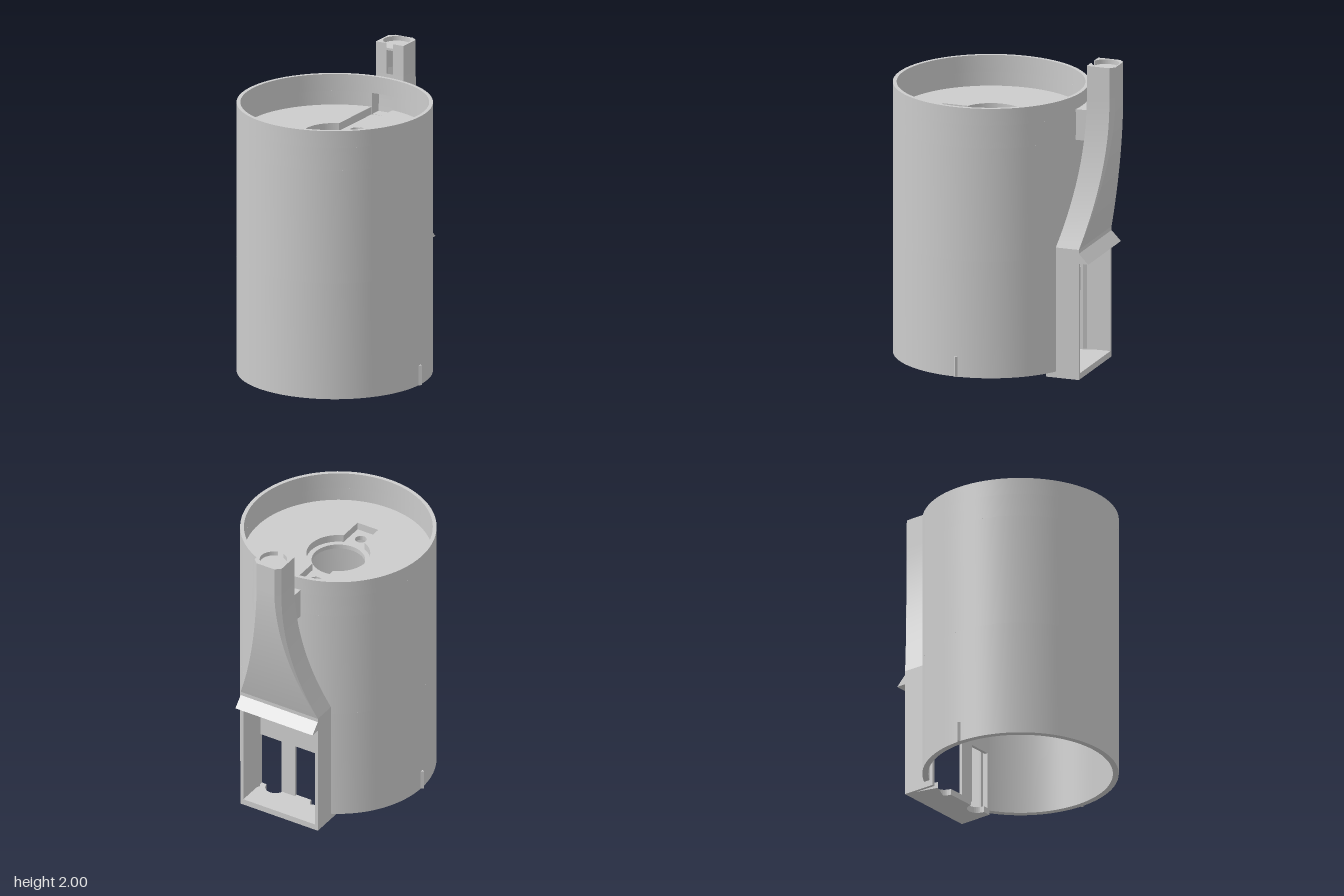
import * as THREE from 'three';
import { toCreasedNormals } from 'three/addons/utils/BufferGeometryUtils.js';

const CZ = 0.125, R = 0.616, RI = 0.592, PI = Math.PI;

export function createModel() {
  const model = new THREE.Group();
  const mat = new THREE.MeshStandardMaterial({ color: 0xcccccc });
  const open = new THREE.MeshStandardMaterial({ color: 0xcccccc, side: THREE.DoubleSide });

  const add = (name, geo, material = mat) => {
    const mesh = new THREE.Mesh(geo, material);
    mesh.name = name;
    model.add(mesh);
    return mesh;
  };
  // Box from its limits
  const block = (name, x0, x1, y0, y1, z0, z1) =>
    add(name, new THREE.BoxGeometry(x1 - x0, y1 - y0, z1 - z0)
      .translate((x0 + x1) / 2, (y0 + y1) / 2, (z0 + z1) / 2));
  // Upright prism: plan shape in (x, -z), from y0 to y1
  const prism = (name, shape, y0, y1, z = 0) => {
    const geo = new THREE.ExtrudeGeometry(shape, { depth: y1 - y0, bevelEnabled: false, curveSegments: 72 });
    geo.rotateX(-PI / 2).translate(0, y0, z);
    return add(name, toCreasedNormals(geo, 0.5));
  };
  const polygon = (pts) => new THREE.Shape(pts.map(([x, y]) => new THREE.Vector2(x, y)));
  const circle = (x, y, r) => new THREE.Path().absarc(x, y, r, 0, 2 * PI, false);

  // Cylinder wall, optionally with a gap of half angle g at the back
  const ring = (ri, g) => {
    const s = new THREE.Shape();
    if (!g) {
      s.absarc(0, 0, R, 0, 2 * PI, false);
      s.holes.push(circle(0, 0, ri));
    } else {
      s.absarc(0, 0, R, PI / 2 + g, 2.5 * PI - g, false);
      s.absarc(0, 0, ri, 2.5 * PI - g, PI / 2 + g, true);
      s.closePath();
    }
    return s;
  };
  prism('lowerWall', ring(0.579, Math.asin(0.27 / R)), 0.04, 0.8, CZ);
  prism('middleWall', ring(0.579, 0), 0.8, 1.54, CZ);
  prism('slottedWall', ring(RI, Math.asin(0.076 / R)), 1.54, 1.69, CZ);
  prism('rim', ring(RI, 0), 1.69, 1.8, CZ);

  // Upper floor with a keyhole recess that runs out through the back wall
  const h = 0.076, q = Math.acos(h / 0.2), b = Math.asin(h / RI);
  const floor = new THREE.Shape();
  floor.absarc(0, 0, RI, PI / 2 + b, 2.5 * PI - b, false);
  floor.absarc(0, 0, 0.2, q, -q, true);
  floor.lineTo(h, -0.35);
  floor.lineTo(-h, -0.35);
  floor.absarc(0, 0, 0.2, q - PI, -PI - q, true);
  floor.closePath();
  prism('floorTop', floor, 1.55, 1.6, CZ);

  // Recess bottom with its three holes
  const base = new THREE.Shape().absarc(0, 0, RI, 0, 2 * PI, false);
  base.holes.push(circle(0, 0, 0.168), circle(0, 0.267, 0.037), circle(0, -0.267, 0.037));
  prism('floorBottom', base, 1.52, 1.55, CZ);

  // Small ribs at the foot of the wall
  for (const s of [1, -1]) {
    const pts = [[0.605 * s, -0.02], [0.632 * s, 0], [0.605 * s, 0.02]];
    prism('sideRib', polygon(s > 0 ? pts : pts.reverse()), 0.04, 0.17, CZ);
  }

  // Open box at the back
  const W = 0.285, zb = -0.575, zf = -0.355;
  for (const s of [1, -1]) {
    block('boxSide', s > 0 ? W - 0.02 : -W, s > 0 ? W : 0.02 - W, 0, 0.85, zb, zf);
  }
  const notched = new THREE.Shape();
  notched.moveTo(-W, -zf);
  for (const x of [-0.165, 0.165]) notched.absarc(x, -zf, 0.065, PI, 0, true);
  notched.lineTo(W, -zf);
  notched.lineTo(W, -zb);
  notched.lineTo(-W, -zb);
  notched.closePath();
  prism('boxBottom', notched, 0, 0.04);
  prism('boxTop', notched, 0.81, 0.85);
  block('crossBar', -0.27, 0.27, 0.42, 0.57, -0.375, zf);
  block('uprightBar', 0.01, 0.11, 0.03, 0.82, -0.375, zf);

  // Drip lip along the top of the opening
  const lip = new THREE.ExtrudeGeometry(polygon([[0.575, 0.76], [0.638, 0.76], [0.575, 0.825]]),
    { depth: 2 * W, bevelEnabled: false });
  add('lip', lip.rotateY(PI / 2).translate(-W, 0, 0));

  // Duct: narrows and leans back as it rises; its front follows the cylinder
  const section = (y) => {
    const u = Math.min(1, (y - 0.85) / 0.95), e = (1 - u) ** 2;
    const w = 0.1 + 0.185 * e, front = -0.557 + 0.137 * e;
    const back = -0.738 + 0.163 * (1 - u) ** 1.8, c = w - 0.035 * u;
    const pts = [];
    for (let i = 0; i <= 8; i++) {
      const x = -w + (2 * w * i) / 8;
      pts.push([x, Math.min(front, CZ - Math.sqrt(0.605 ** 2 - x * x))]);
    }
    pts.push([w, back + 0.03 * u], [c, back], [-c, back], [-w, back + 0.03 * u]);
    return pts;
  };
  const pos = [], idx = [], steps = 20, n = section(1).length;
  for (let j = 0; j <= steps; j++) {
    const y = 0.85 + (0.95 * j) / steps;
    for (const [x, z] of section(y)) pos.push(x, y, z);
  }
  for (let j = 0; j < steps; j++) {
    for (let i = 0; i < n; i++) {
      const a = j * n + i, d = j * n + ((i + 1) % n);
      idx.push(a, d, d + n, a, d + n, a + n);
    }
  }
  const duct = new THREE.BufferGeometry();
  duct.setAttribute('position', new THREE.Float32BufferAttribute(pos, 3));
  duct.setIndex(idx);
  add('duct', toCreasedNormals(duct, 0.4), open);

  // Duct mouth: slit bore below, a thin closing plate, and a shallow round seat on top
  const outline = [[0.1, 0.557], [0.1, 0.708], [0.065, 0.738], [-0.065, 0.738], [-0.1, 0.708], [-0.1, 0.557]];
  const k = Math.asin(0.025 / 0.086);
  const slit = polygon([[0.025, 0.557], ...outline, [-0.025, 0.557]]);
  slit.absarc(0, 0.645, 0.086, 1.5 * PI - k, -PI / 2 + k, true);
  slit.closePath();
  prism('mouthLower', slit, 1.8, 1.955);
  prism('mouthPlate', polygon(outline), 1.955, 1.97);
  prism('mouthSeat', slit, 1.97, 2);

  // Hollow link from the recess to the duct
  for (const s of [1, -1]) {
    block('linkSide', s > 0 ? h : -0.1, s > 0 ? 0.1 : -h, 1.51, 1.71, -0.57, -0.475);
  }
  block('linkBottom', -h, h, 1.51, 1.55, -0.57, -0.47);
  block('linkTop', -h, h, 1.69, 1.71, -0.57, -0.475);

  return model;
}
